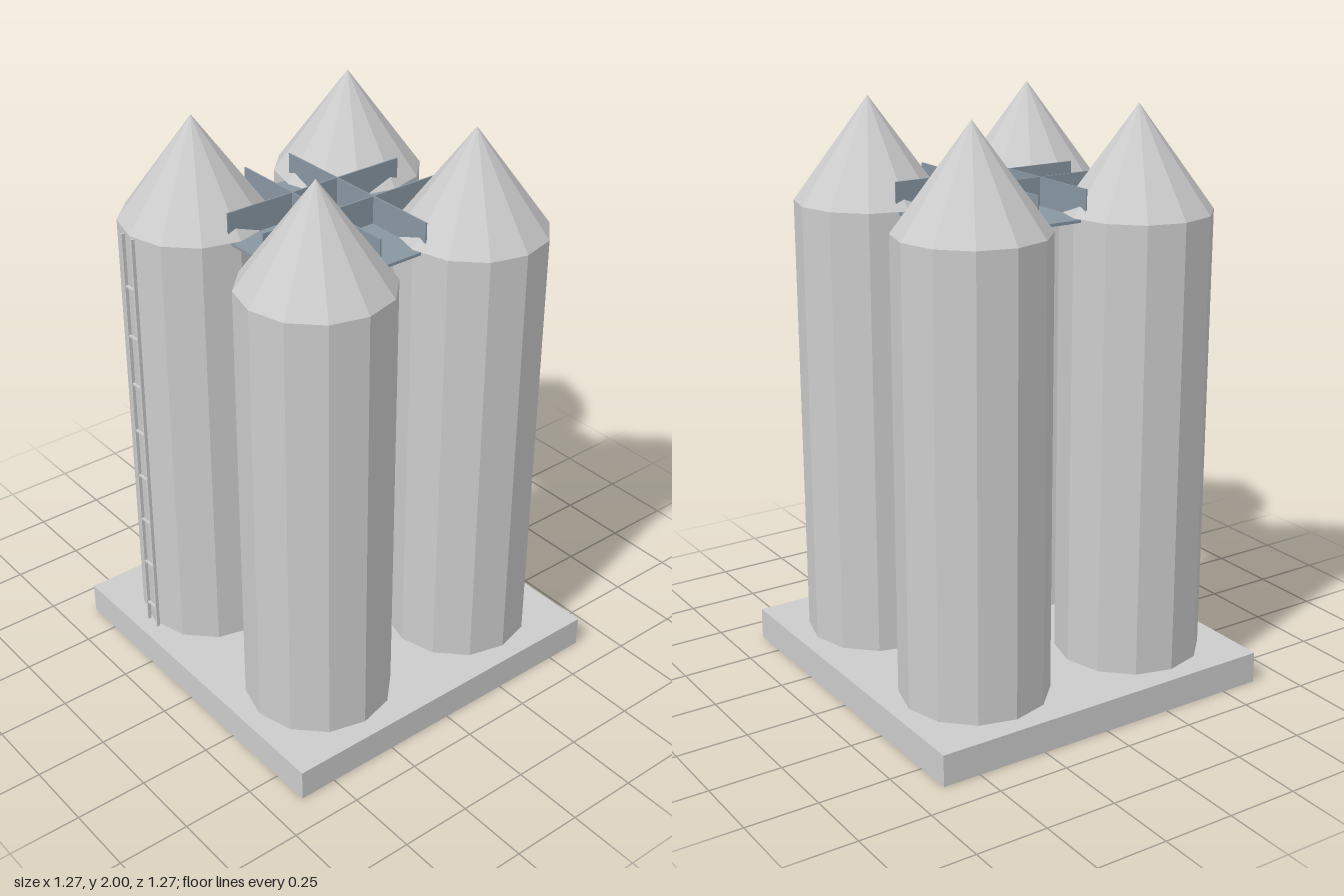
import * as THREE from 'three';

export function createModel() {
  const model = new THREE.Group();
  model.name = 'siloCluster';
  const grey = new THREE.MeshStandardMaterial({ color: 0xcccccc, flatShading: true });
  const steel = new THREE.MeshStandardMaterial({ color: 0x8896a1, flatShading: true });

  const add = (parent, name, geometry, material, x, y, z) => {
    const mesh = new THREE.Mesh(geometry, material);
    mesh.name = name;
    mesh.position.set(x, y, z);
    parent.add(mesh);
    return mesh;
  };
  const box = (parent, name, material, w, h, d, x, y, z) =>
    add(parent, name, new THREE.BoxGeometry(w, h, d), material, x, y, z);

  const baseTop = 0.11, eaves = 1.655, radius = 0.253, offset = 0.317;

  // Foundation slab
  box(model, 'foundation', grey, 1.268, baseTop, 1.268, 0, baseTop / 2, 0);

  // Four twelve-sided silos with conical roofs
  for (const sx of [-1, 1]) {
    for (const sz of [-1, 1]) {
      const silo = new THREE.Group();
      silo.name = 'silo';
      silo.position.set(sx * offset, 0, sz * offset);
      const height = eaves - baseTop;
      add(silo, 'siloBody', new THREE.CylinderGeometry(radius, radius, height, 12), grey, 0, baseTop + height / 2, 0);
      const roof = 2 - eaves;
      add(silo, 'siloRoof', new THREE.ConeGeometry(radius, roof, 12), grey, 0, eaves + roof / 2, 0);
      model.add(silo);
    }
  }

  // Crossed walkways, each a deck with a panel along both edges
  for (const turn of [0, Math.PI / 2]) {
    const walkway = new THREE.Group();
    walkway.name = 'walkway';
    walkway.rotation.y = turn;
    box(walkway, 'walkwayDeck', steel, 0.695, 0.01, 0.184, 0, 1.65, 0);
    for (const side of [-1, 1]) {
      box(walkway, 'walkwayRail', steel, 0.695, 0.1, 0.005, 0, 1.7, side * 0.092);
    }
    model.add(walkway);
  }

  // Ladder on the front right silo
  const ladder = new THREE.Group();
  ladder.name = 'ladder';
  ladder.position.set(-offset, 0, 0.576);
  for (const side of [-1, 1]) {
    box(ladder, 'ladderRail', grey, 0.006, eaves - baseTop, 0.012, side * 0.028, (eaves + baseTop) / 2, 0);
  }
  for (let i = 0; i < 8; i++) {
    box(ladder, 'ladderRung', grey, 0.056, 0.005, 0.01, 0, 0.188 + i * 0.183, 0);
  }
  model.add(ladder);

  return model;
}
